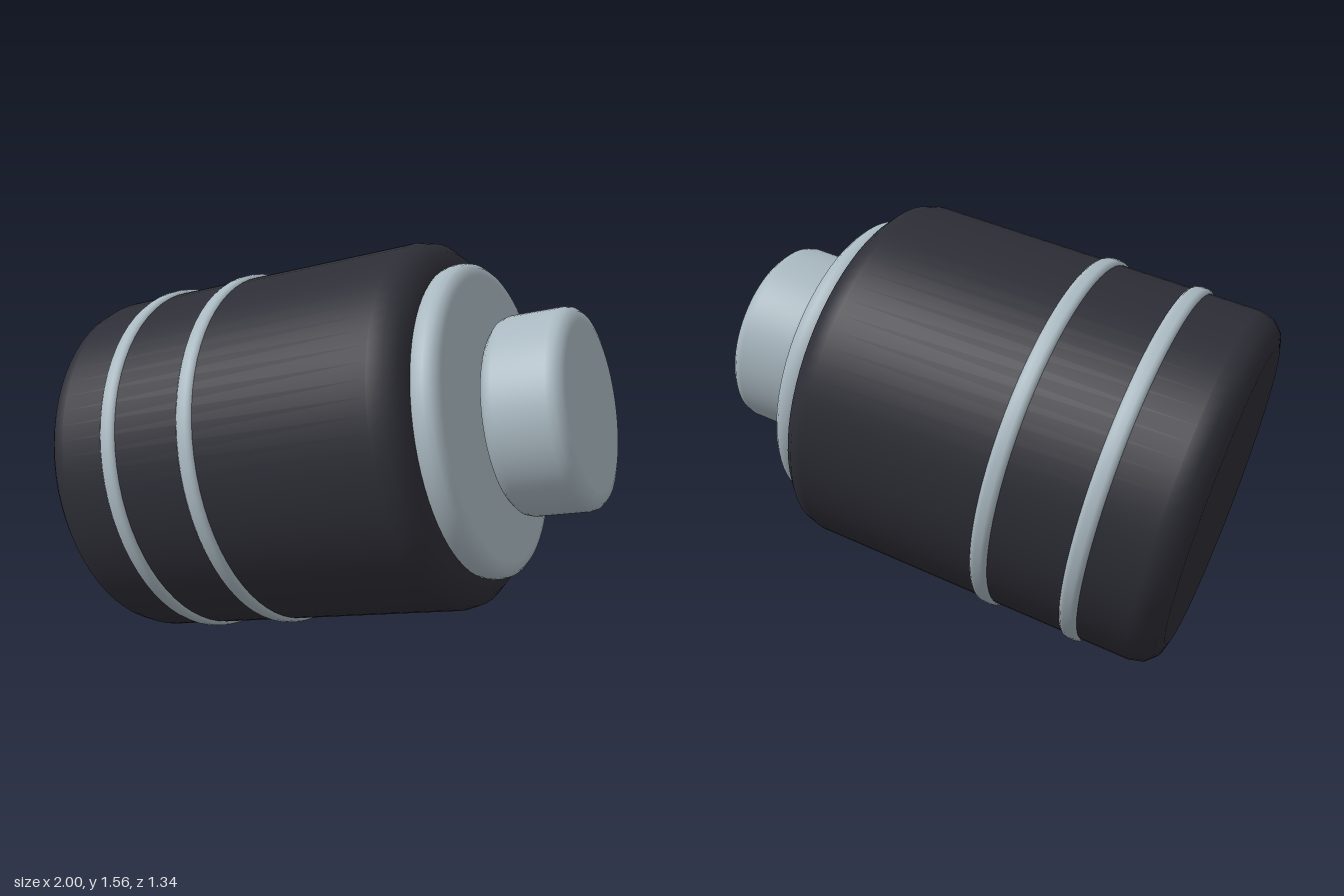
import * as THREE from 'three';

const dark = new THREE.MeshStandardMaterial({ color: 0x2d2d36 });
dark.name = 'charcoal';
const light = new THREE.MeshStandardMaterial({ color: 0xa9b8c0 });
light.name = 'pale steel';

// Solid disc along y from y0 to y1 with rounded rims
function roundedDisc(name, material, radius, y0, y1, bevel) {
  const steps = 3;
  const inner = radius - bevel;
  const points = [new THREE.Vector2(0, y0), new THREE.Vector2(inner - 0.01, y0)];
  for (let i = 0; i <= steps; i++) {
    const a = (i / steps) * Math.PI / 2;
    points.push(new THREE.Vector2(inner + bevel * Math.sin(a), y0 + bevel * (1 - Math.cos(a))));
  }
  for (let i = 0; i <= steps; i++) {
    const a = (i / steps) * Math.PI / 2;
    points.push(new THREE.Vector2(inner + bevel * Math.cos(a), y1 - bevel * (1 - Math.sin(a))));
  }
  points.push(new THREE.Vector2(inner - 0.01, y1), new THREE.Vector2(0, y1));
  const mesh = new THREE.Mesh(new THREE.LatheGeometry(points, 72), material);
  mesh.name = name;
  return mesh;
}

export function createModel() {
  const model = new THREE.Group();
  model.name = 'tiltedCanister';

  // Everything is stacked on one axis, then tipped over
  const canister = new THREE.Group();
  canister.name = 'canister';
  canister.add(
    roundedDisc('body', dark, 0.657, -0.712, 0.72, 0.1),
    roundedDisc('frontPlate', light, 0.556, 0.70, 0.81, 0.045),
    roundedDisc('frontButton', light, 0.35, 0.858, 1.14, 0.05)
  );

  // Two raised bands round the rear half
  [-0.402, -0.071].forEach((y, i) => {
    canister.add(roundedDisc(i ? 'frontBand' : 'rearBand', light, 0.671, y - 0.034, y + 0.034, 0.022));
  });

  canister.rotation.z = THREE.MathUtils.degToRad(-77);
  canister.position.set(-0.18, 0.779, 0);
  model.add(canister);
  return model;
}
